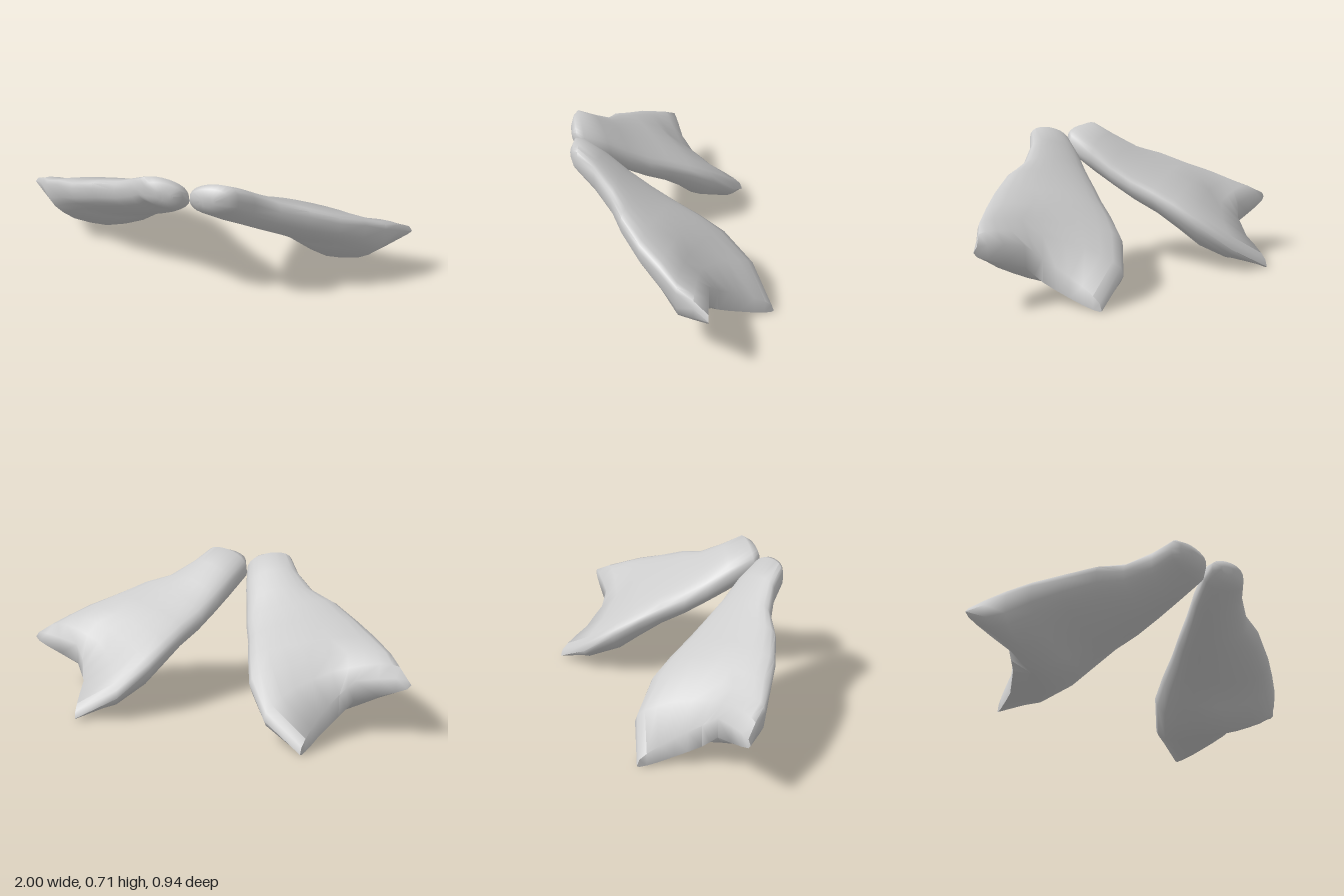
import * as THREE from 'three';
import { toCreasedNormals } from 'three/addons/utils/BufferGeometryUtils.js';

// Sections from nose to tail: inner edge x,y,z | outer edge x,y,z | rise above, drop below
const SECTIONS = [
  [0.06, 0.665, 0.46, 0.14, 0.675, 0.468, 0.015, 0.03],
  [0.02, 0.66, 0.44, 0.20, 0.68, 0.455, 0.055, 0.07],
  [0.00, 0.62, 0.40, 0.24, 0.67, 0.435, 0.09, 0.07],
  [0.04, 0.56, 0.28, 0.30, 0.62, 0.36, 0.085, 0.10],
  [0.08, 0.49, 0.18, 0.41, 0.55, 0.285, 0.085, 0.10],
  [0.12, 0.43, 0.07, 0.54, 0.52, 0.245, 0.075, 0.12],
  [0.17, 0.38, -0.04, 0.68, 0.46, 0.17, 0.07, 0.14],
  [0.21, 0.33, -0.15, 0.79, 0.42, 0.09, 0.06, 0.18],
  [0.26, 0.26, -0.27, 0.88, 0.37, 0.02, 0.065, 0.20],
  [0.38, 0.14, -0.40, 0.94, 0.33, -0.05, 0.085, 0.13],
  [0.58, 0.03, -0.47, 1.00, 0.30, -0.11, 0.07, 0.04],
];
// The last three sections bend around the notch of the forked tail (x, z)
const BENDS = {
  8: [[0.26, -0.27], [0.42, -0.16], [0.59, -0.06], [0.75, -0.01], [0.88, 0.02]],
  9: [[0.38, -0.40], [0.48, -0.25], [0.62, -0.12], [0.77, -0.08], [0.94, -0.05]],
  10: [[0.58, -0.47], [0.62, -0.30], [0.68, -0.19], [0.74, -0.14], [1.00, -0.11]],
};
const N = 24;
const { lerp } = THREE.MathUtils;

// Point of a section at fraction u from its inner to its outer edge
function across(row, u) {
  const [ix, iy, iz, ox, oy, oz] = SECTIONS[row];
  const y = lerp(iy, oy, u);
  const bend = BENDS[row];
  if (!bend) return [lerp(ix, ox, u), y, lerp(iz, oz, u)];
  const i = Math.min(3, Math.floor(u * 4)), f = u * 4 - i;
  return [lerp(bend[i][0], bend[i + 1][0], f), y, lerp(bend[i][1], bend[i + 1][1], f)];
}

function lobeGeometry(side) {
  const positions = [], index = [];
  const tri = (a, b, c) => {
    if (a === b || b === c || a === c) return;
    if (side > 0) index.push(a, b, c);
    else index.push(a, c, b);
  };

  // Rings: blunt on top and along the outer edge, thinner below the inner edge
  SECTIONS.forEach((s, row) => {
    for (let k = 0; k < N; k++) {
      const angle = (k / N) * Math.PI * 2;
      const u = (1 - Math.cos(angle)) / 2;
      const [x, y, z] = across(row, u);
      const top = k <= N / 2;
      const h = Math.pow(Math.abs(Math.sin(angle)), top ? 0.65 : lerp(1.1, 0.65, u));
      positions.push(side * x, Math.max(0, y + (top ? s[6] : -s[7]) * h), z);
    }
  });

  // Skin between the rings
  for (let r = 0; r < SECTIONS.length - 1; r++) {
    for (let k = 0; k < N; k++) {
      const a = r * N + k, b = r * N + (k + 1) % N;
      tri(a, b, a + N);
      tri(b, b + N, a + N);
    }
  }

  // Nose cap and notch wall: strips from the upper to the lower half of a ring
  const last = (SECTIONS.length - 1) * N;
  for (let k = 0; k < N / 2; k++) {
    const k2 = (N - k) % N, k3 = N - k - 1;
    tri(k + 1, k, k3);
    tri(k3, k, k2);
    tri(last + k, last + k + 1, last + k3);
    tri(last + k, last + k3, last + k2);
  }

  const geometry = new THREE.BufferGeometry();
  geometry.setAttribute('position', new THREE.Float32BufferAttribute(positions, 3));
  geometry.setIndex(index);
  return toCreasedNormals(geometry, 1.2);
}

export function createModel() {
  const model = new THREE.Group();
  model.name = 'forkedLobes';
  const material = new THREE.MeshStandardMaterial({ color: 0xcccccc });
  for (const [name, side] of [['leftLobe', 1], ['rightLobe', -1]]) {
    const lobe = new THREE.Mesh(lobeGeometry(side), material);
    lobe.name = name;
    model.add(lobe);
  }
  return model;
}
